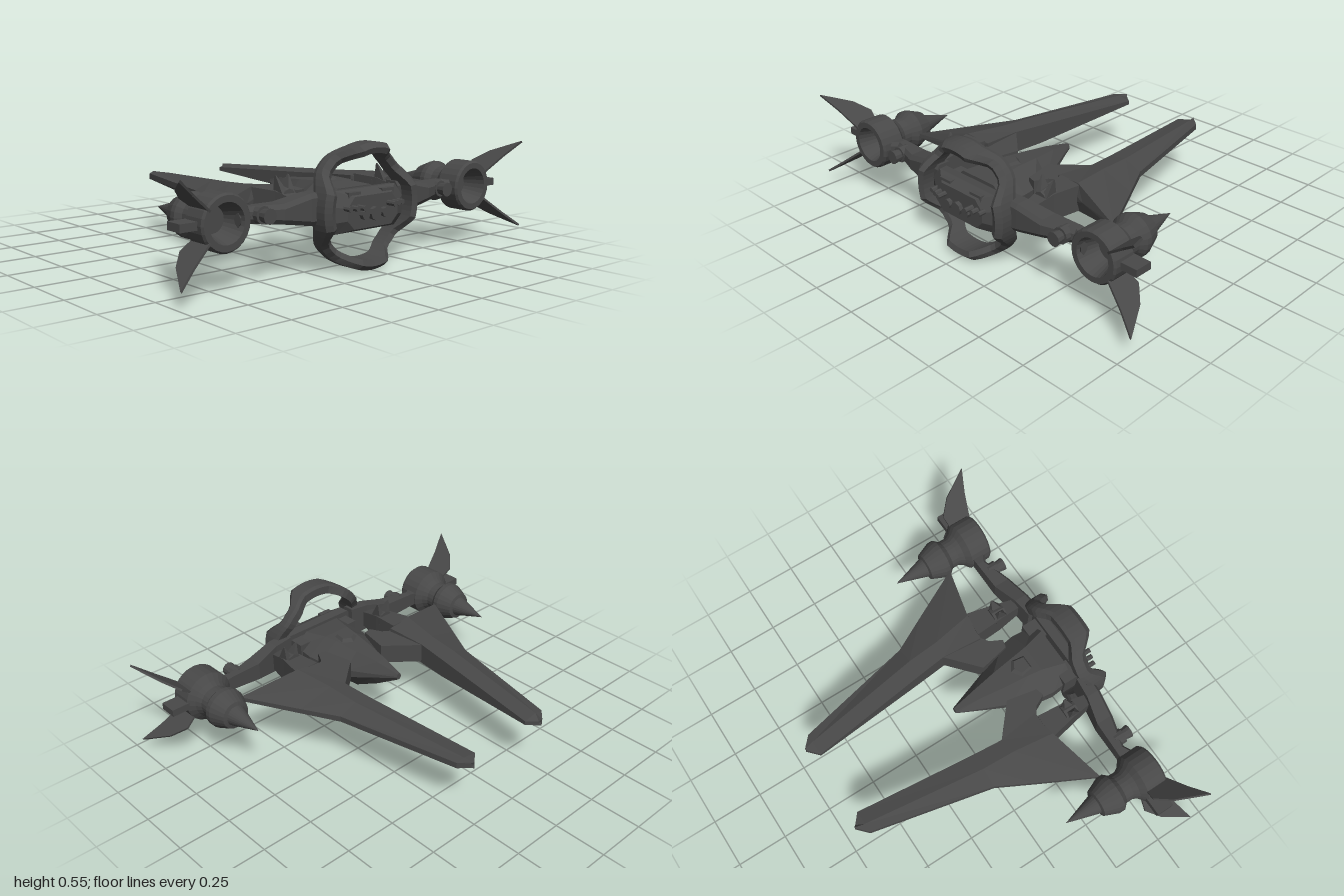
import * as THREE from 'three';

export function createModel() {
  const model = new THREE.Group();
  const material = new THREE.MeshStandardMaterial({ color: 0x484848, flatShading: true });

  // Make a closed geometry faceted, with every face pointing outward
  function orient(geometry) {
    const g = geometry.index ? geometry.toNonIndexed() : geometry;
    const p = g.attributes.position;
    const v = [0, 1, 2].map(() => new THREE.Vector3());
    let volume = 0;
    for (let i = 0; i < p.count; i += 3) {
      v.forEach((q, k) => q.fromBufferAttribute(p, i + k));
      volume += v[0].dot(v[1].clone().cross(v[2]));
    }
    if (volume < 0) {
      for (let i = 0; i < p.count; i += 3) {
        v.forEach((q, k) => q.fromBufferAttribute(p, i + k));
        p.setXYZ(i + 1, v[2].x, v[2].y, v[2].z);
        p.setXYZ(i + 2, v[1].x, v[1].y, v[1].z);
      }
    }
    g.computeVertexNormals();
    return g;
  }

  function add(name, geometry) {
    const mesh = new THREE.Mesh(orient(geometry), material);
    mesh.name = name;
    model.add(mesh);
  }

  function addPair(name, geometry) {
    add('left' + name, geometry.clone());
    add('right' + name, geometry.clone().scale(-1, 1, 1));
  }

  // Skin between cross-sections, capped at both ends unless it closes on itself
  function loft(sections, closed = false) {
    const out = [];
    const n = sections[0].length, m = sections.length;
    for (let s = 0; s < (closed ? m : m - 1); s++) {
      const a = sections[s], b = sections[(s + 1) % m];
      for (let i = 0; i < n; i++) {
        const j = (i + 1) % n;
        out.push(...a[i], ...a[j], ...b[j], ...a[i], ...b[j], ...b[i]);
      }
    }
    const cap = (sec, flip) => {
      const c = [0, 1, 2].map(k => sec.reduce((t, q) => t + q[k], 0) / n);
      for (let i = 0; i < n; i++) {
        const a = sec[i], b = sec[(i + 1) % n];
        out.push(...c, ...(flip ? b : a), ...(flip ? a : b));
      }
    };
    if (!closed) { cap(sections[0], true); cap(sections[m - 1], false); }
    const g = new THREE.BufferGeometry();
    g.setAttribute('position', new THREE.Float32BufferAttribute(out, 3));
    return g;
  }

  // Flat plate from an [x, z] outline
  const plate = (outline, y0, y1) =>
    loft([outline.map(([x, z]) => [x, y0, z]), outline.map(([x, z]) => [x, y1, z])]);

  const box = (w, h, d, x, y, z) => new THREE.BoxGeometry(w, h, d).translate(x, y, z);
  const tube = (r0, r1, d, x, y, z, sides = 12) =>
    new THREE.CylinderGeometry(r1, r0, d, sides).rotateX(Math.PI / 2).translate(x, y, z);

  // Hoop: front and back edges step forward at top, bottom and sides
  const hoop = [];
  for (let i = 0; i < 64; i++) {
    const a = i / 64 * Math.PI * 2;
    const quarter = Math.PI / 2;
    const off = Math.abs(a - Math.round(a / quarter) * quarter) * 180 / Math.PI;
    const k = THREE.MathUtils.clamp((off - 18) / 18, 0, 1);
    const front = 0.68 - 0.08 * k, back = 0.565 - 0.04 * k;
    hoop.push([[0.23, back], [0.27, back], [0.277, back + 0.02], [0.277, front - 0.025],
      [0.255, front], [0.23, front - 0.01]]
      .map(([r, z]) => [r * Math.cos(a), 0.277 + r * Math.sin(a), z]));
  }
  add('hoop', loft(hoop, true));

  // Fuselage: pointed tail growing into a faceted hull
  const hull = (z, w, top, y0, y1, mid = (y0 + y1) / 2) => [
    [-w, mid + 0.03 * w / 0.2, z], [-top, y1, z], [top, y1, z], [w, mid + 0.03 * w / 0.2, z],
    [w, mid - 0.04 * w / 0.2, z], [top, y0, z], [-top, y0, z], [-w, mid - 0.04 * w / 0.2, z]];
  add('fuselage', loft([
    hull(-0.02, 0.014, 0.008, 0.29, 0.32), hull(0.1, 0.06, 0.025, 0.22, 0.34),
    hull(0.23, 0.11, 0.045, 0.16, 0.35), hull(0.36, 0.165, 0.06, 0.16, 0.36),
    hull(0.43, 0.175, 0.07, 0.16, 0.36), hull(0.545, 0.165, 0.1, 0.18, 0.35)]));
  add('canopy', loft([0.355, 0.372].map((y, i) =>
    [[0, 0.3], [0.05, 0.33], [0.04, 0.4], [-0.04, 0.4], [-0.05, 0.33]]
      .map(([x, z]) => [x * (1 - 0.3 * i), y, 0.36 + (z - 0.36) * (1 - 0.3 * i)]))));

  // Nose block carried inside the hoop
  add('noseBlock', loft([
    hull(0.565, 0.23, 0.19, 0.18, 0.35), hull(0.61, 0.23, 0.18, 0.17, 0.355),
    hull(0.66, 0.15, 0.11, 0.19, 0.33)]));
  addPair('NoseCheek', box(0.1, 0.12, 0.12, 0.13, 0.265, 0.55));
  addPair('NosePanel', box(0.07, 0.035, 0.03, 0.1, 0.33, 0.635));
  add('noseSensor', tube(0.03, 0.03, 0.04, 0, 0.25, 0.66, 8));
  addPair('LowerSensor', tube(0.022, 0.022, 0.04, 0.06, 0.25, 0.66, 8));
  [[0.09, 0.7], [0.122, 0.69], [0.155, 0.68]].forEach(([x, tip], i) =>
    addPair('GunBarrel' + (i + 1), tube(0.012, 0.012, 0.1, x, 0.285, tip - 0.045, 8)));

  // Swept wing blades with a ridge and a thin outer edge
  const wing = (zi, zr, zo, xi, xr, xo, y0, y1, e) => [
    [xi, y1 - 0.012, zi], [xr, y1, zr], [xo, 0.285 + e, zo],
    [xo, 0.285 - e, zo], [xr, y0, zr], [xi, y0 + 0.012, zi]];
  addPair('WingBlade', loft([
    wing(-0.7, -0.71, -0.7, 0.212, 0.222, 0.235, 0.268, 0.302, 0.012),
    wing(-0.66, -0.66, -0.66, 0.165, 0.235, 0.278, 0.262, 0.305, 0.014),
    wing(-0.07, -0.07, -0.07, 0.235, 0.32, 0.41, 0.215, 0.335, 0.014),
    wing(0.08, 0.09, 0.1, 0.25, 0.33, 0.5, 0.215, 0.345, 0.012),
    wing(0.28, 0.29, 0.37, 0.23, 0.36, 0.64, 0.225, 0.36, 0.01)]));
  addPair('WingRoot', plate(
    [[0.26, 0.07], [0.18, 0.14], [0.1, 0.21], [0.13, 0.36], [0.17, 0.37], [0.2, 0.31], [0.26, 0.27]],
    0.235, 0.33));

  // Spine running from the wing to the arm, with paired prongs
  const rect = (x0, x1, y0, y1, z) => [[x0, y0, z], [x0, y1, z], [x1, y1, z], [x1, y0, z]];
  addPair('WingSpine', loft([
    rect(0.25, 0.375, 0.23, 0.355, 0.28), rect(0.26, 0.345, 0.225, 0.35, 0.42),
    rect(0.275, 0.325, 0.24, 0.32, 0.54)]));
  addPair('SpineCollar', tube(0.045, 0.035, 0.07, 0.3, 0.325, 0.425, 10));
  [[0.285, 0.268], [0.32, 0.338]].forEach(([x, tipX], i) =>
    addPair('Prong' + (i + 1), loft([
      [[x - 0.018, 0.34, 0.4], [x + 0.018, 0.34, 0.4], [x + 0.018, 0.34, 0.46], [x - 0.018, 0.34, 0.46]],
      [[tipX - 0.002, 0.415, 0.41], [tipX + 0.002, 0.415, 0.41],
        [tipX + 0.002, 0.415, 0.418], [tipX - 0.002, 0.415, 0.418]]])));

  // Arms from the hoop to the engines
  const armSection = (x, y0, y1, z0, z1) => [
    [x, y0, z0 + 0.015], [x, y0, z1 - 0.015], [x, y0 + 0.02, z1],
    [x, y1 - 0.02, z1], [x, y1, z1 - 0.015], [x, y1, z0 + 0.015]];
  addPair('EngineArm', loft([
    armSection(0.2, 0.21, 0.36, 0.525, 0.61), armSection(0.3, 0.22, 0.355, 0.515, 0.605),
    armSection(0.43, 0.24, 0.325, 0.485, 0.59), armSection(0.58, 0.255, 0.325, 0.48, 0.545),
    armSection(0.66, 0.255, 0.315, 0.48, 0.59)]));
  addPair('ArmThruster', tube(0.038, 0.038, 0.05, 0.53, 0.29, 0.55));
  addPair('ThrusterNozzle', tube(0.024, 0.033, 0.06, 0.53, 0.29, 0.585));

  // Engines: spiked rear, stepped body and a hollow front intake
  const profile = [[0, 0.11], [0.05, 0.275], [0.068, 0.28], [0.097, 0.35], [0.097, 0.375],
    [0.075, 0.4], [0.075, 0.44], [0.09, 0.465], [0.12, 0.49], [0.12, 0.59], [0.112, 0.6],
    [0.085, 0.6], [0.056, 0.5], [0, 0.5]];
  addPair('Engine', new THREE.LatheGeometry(profile.map(([r, z]) => new THREE.Vector2(r, z)), 24)
    .rotateX(Math.PI / 2).translate(0.73, 0.285, 0));
  addPair('EnginePod', box(0.1, 0.034, 0.085, 0.88, 0.285, 0.525));

  // Splayed engine fins
  const finOutline = [[0.1, 0.49], [0.175, 0.48], [0.25, 0.54], [0.34, 0.675], [0.23, 0.635], [0.1, 0.6]];
  [['Upper', 1], ['Lower', -1]].forEach(([label, side]) =>
    addPair(label + 'Fin', plate(finOutline, -0.005, 0.005)
      .rotateZ(side * 0.65).translate(0.73, 0.28, 0)));

  return model;
}
